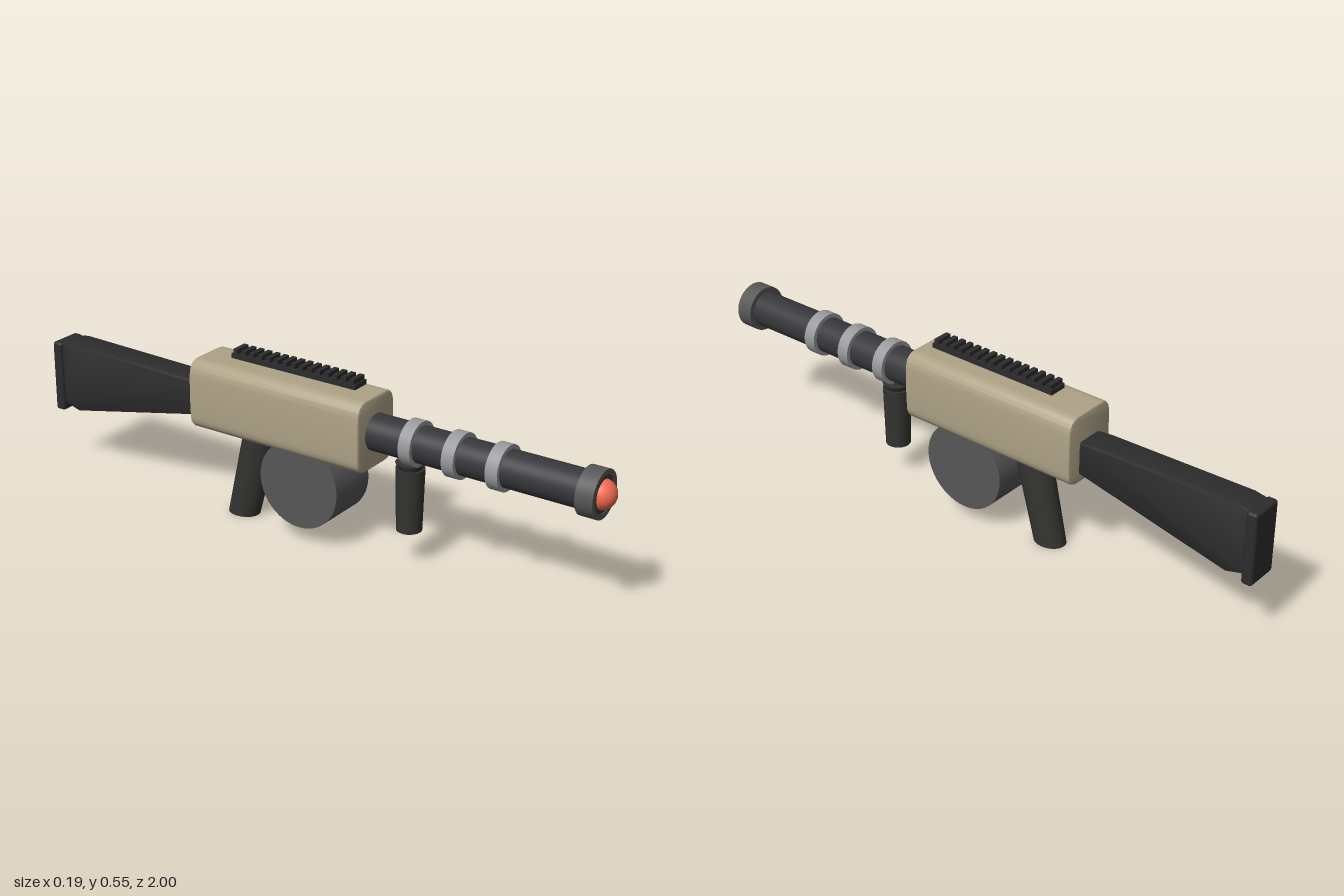
import * as THREE from 'three';
import { toCreasedNormals } from 'three/addons/utils/BufferGeometryUtils.js';
import { RoundedBoxGeometry } from 'three/addons/geometries/RoundedBoxGeometry.js';

const mat = (color) => new THREE.MeshStandardMaterial({ color });
const TAN = mat(0xb0a488), STEEL = mat(0x36373a), DRUM = mat(0x575757);
const BAND = mat(0x999a9c), RUBBER = mat(0x333331), STOCK = mat(0x2c2c2c), BALL = mat(0xf26a50);
const BORE_Y = 0.393;

export function createModel() {
  const model = new THREE.Group();
  const add = (name, geometry, material, x = 0, y = 0, z = 0) => {
    const mesh = new THREE.Mesh(geometry, material);
    mesh.name = name;
    mesh.position.set(x, y, z);
    model.add(mesh);
    return mesh;
  };
  // cylinder lying along z between two positions
  const tubeZ = (name, r, z0, z1, material) =>
    add(name, new THREE.CylinderGeometry(r, r, z1 - z0, 40).rotateX(Math.PI / 2), material, 0, BORE_Y, (z0 + z1) / 2);

  // receiver: rounded section with slightly bulging sides, bevelled ends
  const w = 0.085, b = 0.287, t = 0.498, r = 0.036, mid = (b + t) / 2;
  const section = new THREE.Shape();
  section.moveTo(-w + r, b);
  section.lineTo(w - r, b);
  section.quadraticCurveTo(w, b, w + 0.002, b + r);
  section.quadraticCurveTo(w + 0.006, mid, w + 0.002, t - r);
  section.quadraticCurveTo(w, t, w - r, t);
  section.lineTo(-w + r, t);
  section.quadraticCurveTo(-w, t, -w - 0.002, t - r);
  section.quadraticCurveTo(-w - 0.006, mid, -w - 0.002, b + r);
  section.quadraticCurveTo(-w, b, -w + r, b);
  const receiver = new THREE.ExtrudeGeometry(section, {
    depth: 0.608, bevelEnabled: true, bevelThickness: 0.007, bevelSize: 0.007, bevelSegments: 2, curveSegments: 10,
  });
  add('receiver', toCreasedNormals(receiver, 0.6), TAN, 0, 0, -0.395);

  // top rail with cross teeth
  add('railBase', new THREE.BoxGeometry(0.06, 0.015, 0.45), STOCK, 0, 0.5275, -0.06);
  const teeth = 15;
  for (let i = 0; i < teeth; i++) {
    add('railTooth', new THREE.BoxGeometry(0.054, 0.015, 0.016), STOCK, 0, 0.5425, 0.152 - (i * 0.424) / (teeth - 1));
  }

  // barrel, bands and muzzle
  tubeZ('barrel', 0.057, 0.2, 0.93, STEEL);
  for (const z of [0.36, 0.505, 0.648]) tubeZ('barrelBand', 0.07, z - 0.02, z + 0.02, BAND);
  const ring = [[0.057, 0.91], [0.073, 0.91], [0.073, 0.965], [0.057, 0.965], [0.057, 0.91]]
    .map(([x, y]) => new THREE.Vector2(x, y));
  add('muzzleRing', toCreasedNormals(new THREE.LatheGeometry(ring, 40).rotateX(Math.PI / 2), 0.6), DRUM, 0, BORE_Y, 0);
  tubeZ('muzzlePlug', 0.0572, 0.92, 0.962, STEEL);
  add('muzzleBall', new THREE.SphereGeometry(0.045, 32, 20), BALL, 0, BORE_Y, 0.955);

  // front grip
  add('foregrip', new THREE.CylinderGeometry(0.044, 0.039, 0.2, 32), RUBBER, 0, 0.21, 0.342);
  add('foregripCollar', new THREE.CylinderGeometry(0.045, 0.035, 0.022, 32), RUBBER, 0, 0.316, 0.342);
  add('foregripNeck', new THREE.BoxGeometry(0.03, 0.04, 0.04), STEEL, 0, 0.335, 0.342);

  // drum magazine
  add('drumMagazine', new THREE.CylinderGeometry(0.14, 0.14, 0.17, 48).rotateZ(Math.PI / 2), DRUM, 0, 0.193, 0);

  // rear grip: tapered oval column, leaned back by a shear
  const grip = new THREE.CylinderGeometry(0.06, 0.053, 0.3, 32).scale(0.82, 1, 1);
  const shear = new THREE.Matrix4().set(1, 0, 0, 0, 0, 1, 0, 0, 0, 0.245, 1, 0, 0, 0, 0, 1);
  add('rearGrip', grip.applyMatrix4(shear), RUBBER, 0, 0.15, -0.231);
  add('triggerBar', new THREE.BoxGeometry(0.012, 0.008, 0.09), STOCK, 0, 0.16, -0.155);

  // shoulder stock: bevelled side profile (z, y) and butt pad
  const profile = new THREE.Shape(
    [[-0.39, 0.408], [-0.45, 0.414], [-0.93, 0.424], [-0.965, 0.418], [-0.965, 0.222], [-0.908, 0.206], [-0.39, 0.318]]
      .map(([z, y]) => new THREE.Vector2(z, y)));
  const stock = new THREE.ExtrudeGeometry(profile, {
    depth: 0.074, bevelEnabled: true, bevelThickness: 0.009, bevelSize: 0.007, bevelSegments: 2,
  });
  add('stock', toCreasedNormals(stock.rotateY(-Math.PI / 2), 0.5), STOCK, 0.037, 0, 0);
  add('buttPad', new RoundedBoxGeometry(0.11, 0.235, 0.036, 3, 0.01), STOCK, 0, 0.307, -0.982);

  return model;
}
